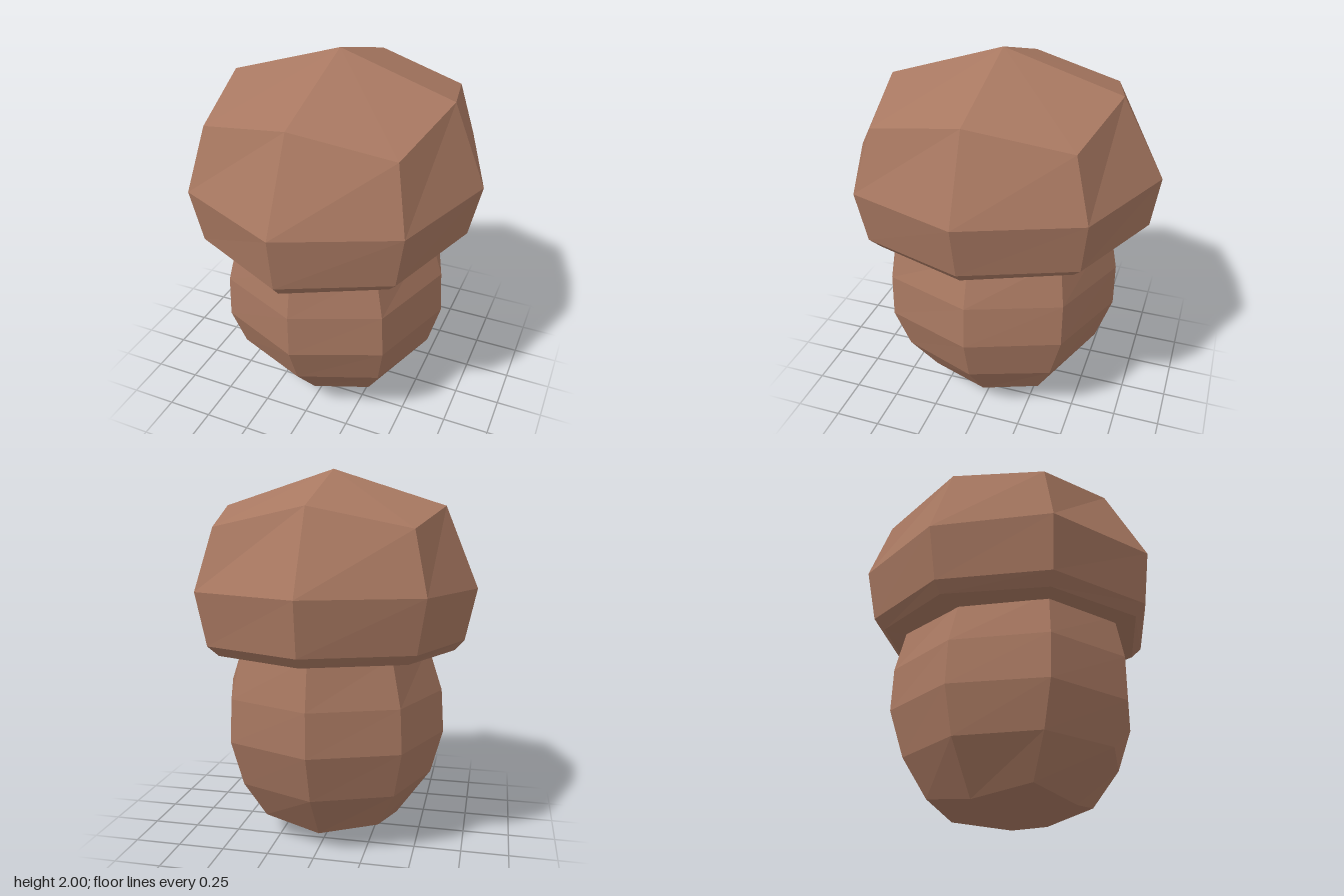
import * as THREE from 'three';

// One eight-sided ring: side and front radii, diagonal corner x/z, height,
// forward tilt, corner drop and z offset
function ring([rx, rz, cx, cz, y, tilt = 0, drop = 0, dz = 0]) {
  const plan = [[0, rz], [cx, cz], [rx, 0], [cx, -cz], [0, -rz], [-cx, -cz], [-rx, 0], [-cx, cz]];
  return plan.map(([x, z], i) => [x, y - tilt * z - (i % 2 ? drop : 0), z + dz]);
}

// Skin the rings from bottom to top and close both ends with four facets each
function facetedShell(profiles, bottomY, topY) {
  const rings = profiles.map(ring);
  const points = [];
  const quad = (a, b, c, d) => points.push(...a, ...b, ...c, ...a, ...c, ...d);
  for (let r = 0; r < rings.length - 1; r++) {
    for (let i = 0; i < 8; i++) {
      const j = (i + 1) % 8;
      quad(rings[r][i], rings[r][j], rings[r + 1][j], rings[r + 1][i]);
    }
  }
  const low = rings[0], high = rings[rings.length - 1];
  for (let i = 0; i < 8; i += 2) {
    const k = (i + 2) % 8;
    quad([0, topY, 0], high[i], high[i + 1], high[k]);
    quad([0, bottomY, 0], low[k], low[i + 1], low[i]);
  }
  const geometry = new THREE.BufferGeometry();
  geometry.setAttribute('position', new THREE.Float32BufferAttribute(points, 3));
  geometry.computeVertexNormals();
  return geometry;
}

export function createModel() {
  const model = new THREE.Group();
  model.name = 'acorn';
  const brown = new THREE.MeshStandardMaterial({ color: 0xa87861, flatShading: true });
  brown.name = 'acorn brown';

  // Rounded nut, hidden under the cap at its top
  const nut = new THREE.Mesh(facetedShell([
    [0.37, 0.375, 0.31, 0.31, 0.083, 0, -0.052],
    [0.555, 0.575, 0.405, 0.413, 0.34, 0, 0, 0.013],
    [0.62, 0.662, 0.45, 0.478, 0.58, 0.023, 0, 0.013],
    [0.605, 0.662, 0.44, 0.478, 0.815, 0.023, 0, 0.013],
    [0.525, 0.615, 0.39, 0.445, 1.06, 0.035, 0, 0.013],
  ], 0, 1.1), brown);
  nut.name = 'nut';

  // Wide cap, tilted slightly forward, with a bevelled rim
  const cap = new THREE.Mesh(facetedShell([
    [0.54, 0.62, 0.4, 0.45, 1.03, 0.046],
    [0.67, 0.75, 0.48, 0.52, 1.043, 0.044],
    [0.72, 0.802, 0.525, 0.56, 1.1, 0.037],
    [0.78, 0.842, 0.57, 0.593, 1.38, 0.028],
    [0.603, 0.618, 0.498, 0.507, 1.808, 0.01, 0.104],
  ], 1.04, 2), brown);
  cap.name = 'cap';

  model.add(nut, cap);
  return model;
}
